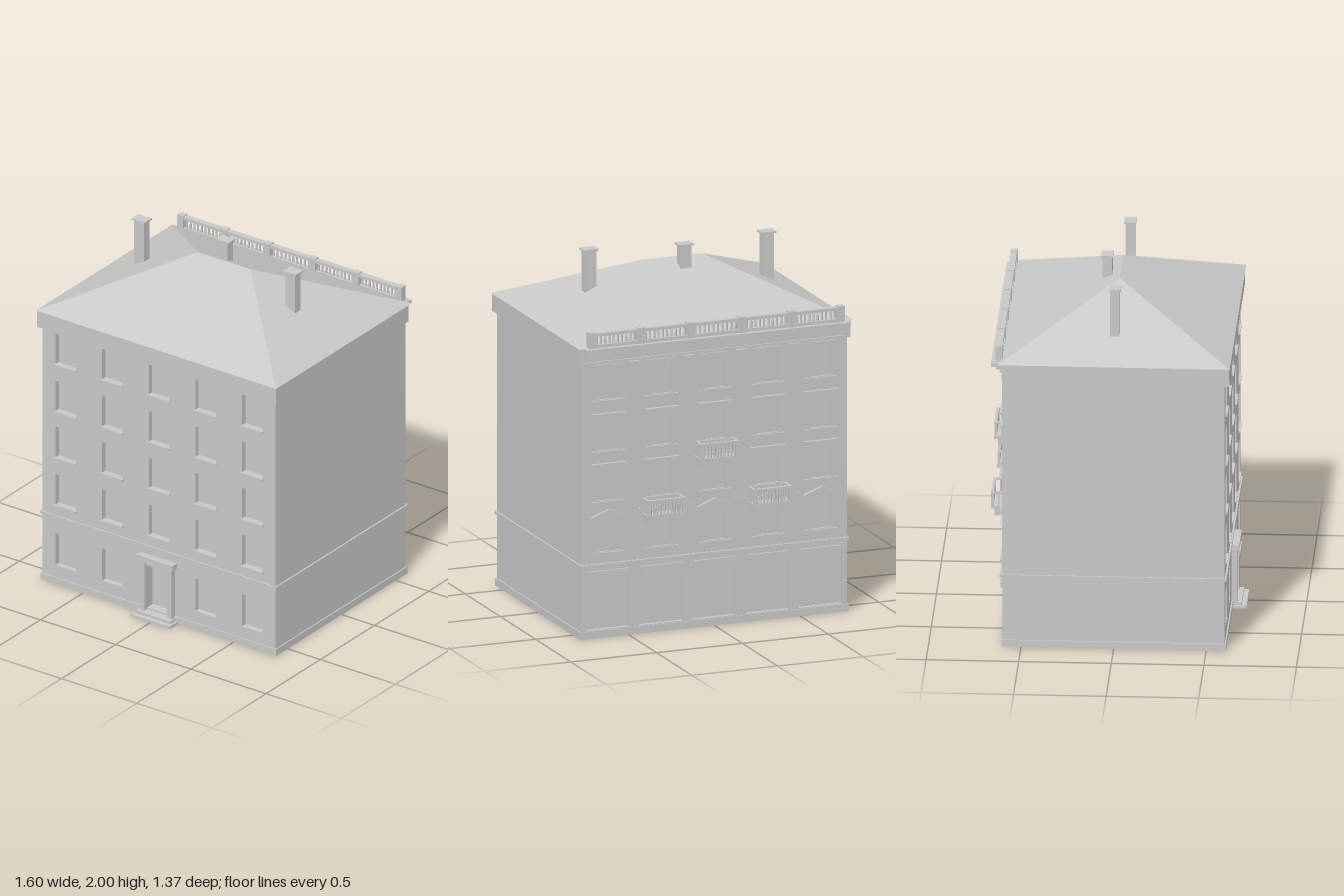
import * as THREE from 'three';

const stone = new THREE.MeshStandardMaterial({ color: 0xc8c8c8, side: THREE.DoubleSide });
stone.name = 'pale grey stone';

const COLUMNS = [-0.62, -0.31, 0, 0.31, 0.62];
const FLOORS = [0.475, 0.76, 1.04, 1.325];
const WIN_W = 0.135, WIN_H = 0.187, WALL_Z = 0.6, WALL_X = 0.775;

function add(parent, name, geometry) {
  const mesh = new THREE.Mesh(geometry, stone);
  mesh.name = name;
  parent.add(mesh);
  return mesh;
}

function group(parent, name) {
  const g = new THREE.Group();
  g.name = name;
  parent.add(g);
  return g;
}

// Box given by its limits on each axis
function box(parent, name, x0, x1, y0, y1, z0, z1) {
  const m = add(parent, name, new THREE.BoxGeometry(x1 - x0, y1 - y0, z1 - z0));
  m.position.set((x0 + x1) / 2, (y0 + y1) / 2, (z0 + z1) / 2);
  return m;
}

function rect(ShapeType, x0, x1, y0, y1) {
  const s = new ShapeType();
  s.moveTo(x0, y0);
  s.lineTo(x1, y0);
  s.lineTo(x1, y1);
  s.lineTo(x0, y1);
  s.closePath();
  return s;
}

// Hollow horizontal band running round the building
function band(parent, name, halfX, zBack, zFront, y0, y1) {
  const s = rect(THREE.Shape, -halfX, halfX, -zFront, -zBack);
  s.holes.push(rect(THREE.Path, -WALL_X, WALL_X, -0.599, 0.599));
  const g = new THREE.ExtrudeGeometry(s, { depth: y1 - y0, bevelEnabled: false });
  g.rotateX(-Math.PI / 2);
  add(parent, name, g).position.y = y0;
}

// Wall sheet with recessed openings, each { x, y, w, h, depth }
function facade(parent, openings) {
  const s = rect(THREE.Shape, -WALL_X, WALL_X, 0, 1.63);
  for (const o of openings) {
    s.holes.push(rect(THREE.Path, o.x - o.w / 2, o.x + o.w / 2, o.y, o.y + o.h));
    const g = new THREE.BoxGeometry(o.w, o.h, o.depth);
    const index = Array.from(g.index.array);
    index.splice(24, 6); // leave the outer side open
    g.setIndex(index);
    add(parent, 'windowRecess', g).position.set(o.x, o.y + o.h / 2, WALL_Z - o.depth / 2);
  }
  add(parent, 'wall', new THREE.ShapeGeometry(s)).position.z = WALL_Z;
}

// Square-section balusters, evenly spaced between x0 and x1
function balusters(parent, x0, x1, y0, y1, z, count) {
  for (let i = 0; i < count; i++) {
    const x = x0 + (x1 - x0) * (i + 0.5) / count;
    const m = add(parent, 'baluster', new THREE.CylinderGeometry(0.005, 0.006, y1 - y0, 6));
    m.position.set(x, (y0 + y1) / 2, z);
  }
}

function buildFront(front) {
  const openings = [{ x: 0, y: 0.04, w: 0.15, h: 0.29, depth: 0.045 }];
  for (const x of COLUMNS) {
    if (x !== 0) openings.push({ x, y: 0.11, w: WIN_W, h: 0.195, depth: 0.03 });
    for (const y of FLOORS) {
      openings.push({ x, y, w: WIN_W, h: WIN_H, depth: 0.03 });
      box(front, 'windowSill', x - 0.073, x + 0.073, y - 0.006, y + 0.003, 0.57, 0.61);
    }
  }
  facade(front, openings);

  // Entrance
  const door = group(front, 'entrance');
  for (const s of [-1, 1]) {
    box(door, 'doorPost', s * 0.09 - 0.016, s * 0.09 + 0.016, 0.03, 0.33, 0.56, 0.63);
  }
  box(door, 'doorTransom', -0.075, 0.075, 0.3, 0.33, 0.56, 0.615);
  box(door, 'doorLintel', -0.12, 0.12, 0.33, 0.36, 0.595, 0.642);
  box(door, 'lowerStep', -0.13, 0.13, 0, 0.015, 0.6, 0.682);
  box(door, 'upperStep', -0.115, 0.115, 0.015, 0.03, 0.6, 0.655);
}

function buildBalcony(parent, x, y) {
  const b = group(parent, 'balcony');
  b.position.set(x, y, 0);
  box(b, 'balconySlab', -0.115, 0.115, -0.015, 0, 0.6, 0.683);
  box(b, 'frontRail', -0.112, 0.112, 0.07, 0.082, 0.666, 0.682);
  balusters(b, -0.1, 0.1, 0, 0.07, 0.674, 10);
  for (const s of [-1, 1]) {
    box(b, 'balconyBracket', s * 0.085 - 0.016, s * 0.085 + 0.016, -0.06, -0.015, 0.6, 0.663);
    box(b, 'sideRail', s * 0.105 - 0.007, s * 0.105 + 0.007, 0.07, 0.082, 0.6, 0.68);
    box(b, 'cornerPost', s * 0.105 - 0.007, s * 0.105 + 0.007, 0, 0.07, 0.667, 0.681);
    for (const z of [0.615, 0.64]) {
      box(b, 'sideBaluster', s * 0.105 - 0.004, s * 0.105 + 0.004, 0, 0.07, z - 0.004, z + 0.004);
    }
  }
}

function buildRichFront(back) {
  const openings = [];
  for (const x of COLUMNS) {
    // Shop window with its fascia
    openings.push({ x, y: 0.045, w: 0.25, h: 0.315, depth: 0.025 });
    box(back, 'shopFascia', x - 0.12, x + 0.12, 0.325, 0.375, 0.575, 0.612);

    FLOORS.forEach((y, floor) => {
      openings.push({ x, y, w: WIN_W, h: WIN_H, depth: 0.025 });
      // Raised surround
      const s = rect(THREE.Shape, x - 0.083, x + 0.083, y, y + 0.201);
      s.holes.push(rect(THREE.Path, x - 0.062, x + 0.062, y + 0.006, y + 0.181));
      const g = new THREE.ExtrudeGeometry(s, { depth: 0.01, bevelEnabled: false });
      add(back, 'windowSurround', g).position.z = 0.598;
      box(back, 'windowSill', x - 0.095, x + 0.095, y - 0.012, y + 0.002, 0.598, 0.618);
      for (const k of [-1, 1]) {
        box(back, 'sillBracket', x + k * 0.075 - 0.01, x + k * 0.075 + 0.01, y - 0.03, y - 0.012, 0.598, 0.612);
      }
      if (floor === 1 || floor === 2) {
        box(back, 'windowHood', x - 0.1, x + 0.1, y + 0.201, y + 0.214, 0.598, 0.62);
      }
      // Low pediment over the first upper floor
      if (floor === 0) {
        const p = new THREE.Shape();
        p.moveTo(x - 0.1, y + 0.201);
        p.lineTo(x + 0.1, y + 0.201);
        p.lineTo(x, y + 0.24);
        p.closePath();
        const pg = new THREE.ExtrudeGeometry(p, { depth: 0.02, bevelEnabled: false });
        add(back, 'windowPediment', pg).position.z = 0.598;
      }
    });
  }
  facade(back, openings);

  // Tall pilasters between the middle columns
  for (const x of [-0.465, -0.155, 0.155, 0.465]) {
    box(back, 'pilaster', x - 0.023, x + 0.023, 0.7, 1.5, 0.598, 0.609);
    box(back, 'pilasterBase', x - 0.03, x + 0.03, 0.68, 0.7, 0.598, 0.613);
    box(back, 'pilasterCapital', x - 0.032, x + 0.032, 1.5, 1.53, 0.598, 0.617);
  }

  buildBalcony(back, -0.31, 0.675);
  buildBalcony(back, 0, 0.96);
  buildBalcony(back, 0.31, 0.675);

  // Cornice with dentils
  box(back, 'shopCornice', -0.78, 0.78, 0.4, 0.415, 0.598, 0.615);
  box(back, 'frieze', -0.765, 0.765, 1.535, 1.545, 0.598, 0.61);
  for (let i = 0; i < 52; i++) {
    const x = -0.75 + i * 1.5 / 51;
    box(back, 'dentil', x - 0.008, x + 0.008, 1.572, 1.59, 0.598, 0.618);
  }
  box(back, 'corniceLower', -0.76, 0.76, 1.59, 1.61, 0.598, 0.635);
  box(back, 'corniceUpper', -0.77, 0.77, 1.61, 1.63, 0.598, 0.663);

  // Roof balustrade
  const rail = group(back, 'roofBalustrade');
  box(rail, 'bottomRail', -0.74, 0.74, 1.63, 1.648, 0.606, 0.636);
  box(rail, 'topRail', -0.745, 0.745, 1.695, 1.712, 0.604, 0.638);
  const posts = [-0.725, -0.44, -0.15, 0.15, 0.44, 0.725];
  posts.forEach((x, i) => {
    box(rail, 'railPost', x - 0.02, x + 0.02, 1.63, 1.718, 0.602, 0.64);
    if (i) balusters(rail, posts[i - 1] + 0.02, x - 0.02, 1.648, 1.695, 0.621, 10);
  });
}

function buildRoof(parent) {
  const X = 0.798, Z = 0.628, Y = 1.63, R = 0.175, H = 1.91;
  const a = [-X, Y, Z], b = [X, Y, Z], c = [X, Y, -Z], d = [-X, Y, -Z];
  const l = [-R, H, 0], r = [R, H, 0];
  const faces = [a, b, r, a, r, l, c, d, l, c, l, r, b, c, r, d, a, l, a, d, c, a, c, b];
  const g = new THREE.BufferGeometry();
  g.setAttribute('position', new THREE.Float32BufferAttribute(faces.flat(), 3));
  g.computeVertexNormals();
  add(parent, 'hippedRoof', g);

  // Chimneys
  for (const [x, z, foot] of [[-0.55, -0.005, 1.7], [-0.042, -0.073, 1.83], [0.475, 0.022, 1.72]]) {
    const ch = group(parent, 'chimney');
    box(ch, 'chimneyShaft', x - 0.032, x + 0.032, foot, 1.99, z - 0.026, z + 0.026);
    box(ch, 'chimneyCap', x - 0.043, x + 0.043, 1.99, 2, z - 0.033, z + 0.033);
  }
}

export function createModel() {
  const model = new THREE.Group();
  model.name = 'apartmentBuilding';

  buildFront(group(model, 'plainFront'));
  const back = group(model, 'richFront');
  back.rotation.y = Math.PI;
  buildRichFront(back);

  // Plain side walls
  for (const s of [-1, 1]) {
    const side = add(model, 'sideWall', new THREE.PlaneGeometry(WALL_Z * 2, 1.63));
    side.rotation.y = s * Math.PI / 2;
    side.position.set(s * WALL_X, 0.815, 0);
  }

  band(model, 'plinth', 0.782, -0.605, 0.607, 0, 0.04);
  band(model, 'stringCourse', 0.784, -0.605, 0.61, 0.4, 0.416);
  band(model, 'eavesBand', 0.793, -0.601, 0.623, 1.53, 1.63);
  buildRoof(model);
  return model;
}
